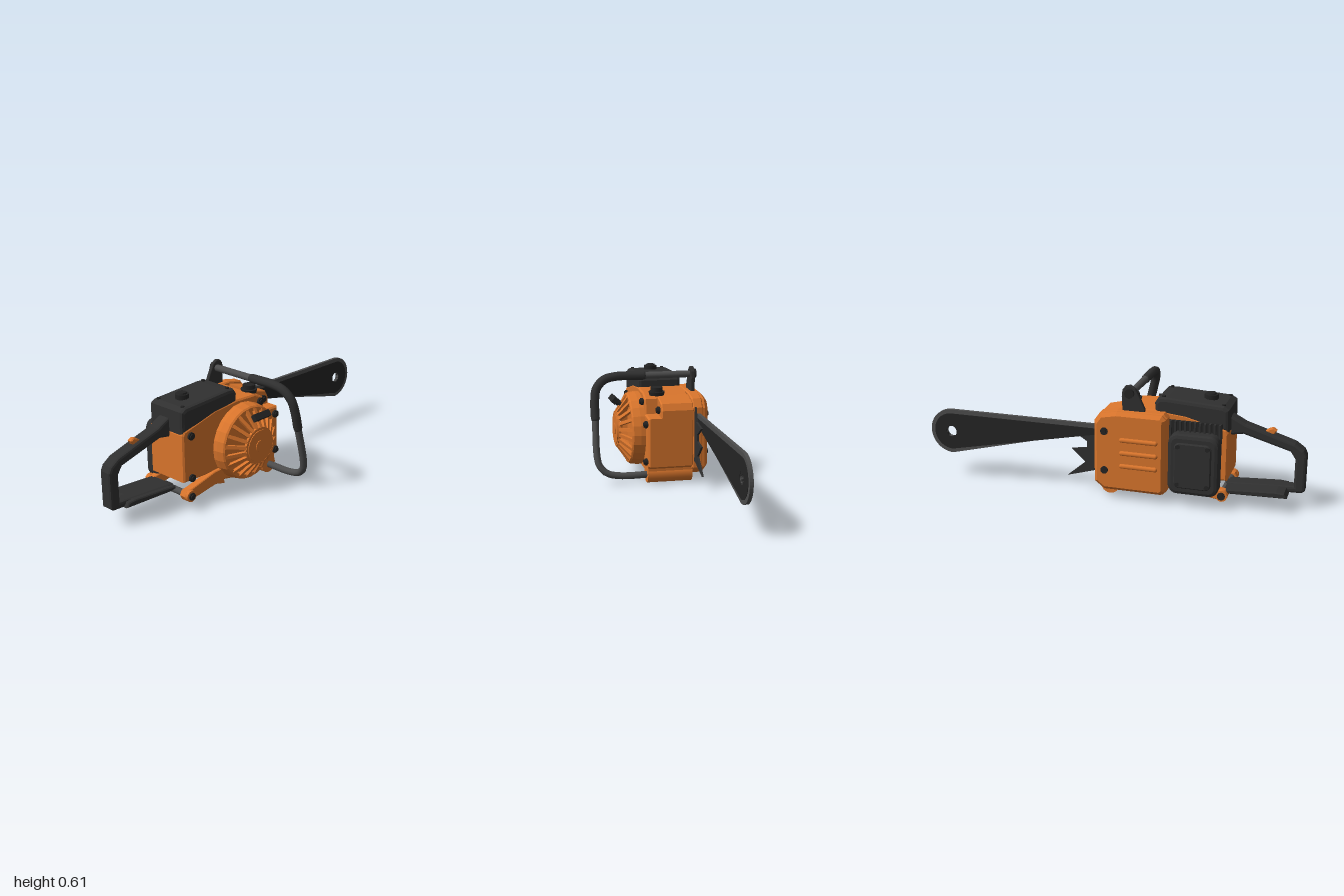
import * as THREE from 'three';

const mat = (name, color) => Object.assign(new THREE.MeshStandardMaterial({ color }), { name });

export function createModel() {
  const root = new THREE.Group();
  root.name = 'chainsaw';
  const orange = mat('orange housing', 0xd9752c);
  const dark = mat('dark plastic', 0x303030);
  const black = mat('black hardware', 0x242424);
  const grey = mat('grey steel', 0x4c4c4c);

  const add = (name, geo, m, x = 0, y = 0, z = 0, parent = root) => {
    const mesh = new THREE.Mesh(geo, m);
    mesh.name = name;
    mesh.position.set(x, y, z);
    parent.add(mesh);
    return mesh;
  };
  const poly = (pts) => new THREE.Shape(pts.map(([x, y]) => new THREE.Vector2(x, y)));
  // Extrude a side-view shape between two depths, with chamfers kept inside the outline
  const slab = (name, shape, z0, z1, m, bevel = 0, segs = 1) => {
    const geo = new THREE.ExtrudeGeometry(shape, {
      depth: z1 - z0 - 2 * bevel, bevelEnabled: bevel > 0, bevelSize: bevel, bevelThickness: bevel,
      bevelOffset: -bevel, bevelSegments: segs, curveSegments: 12,
    });
    return add(name, geo, m, 0, 0, z0 + bevel);
  };
  const box = (name, w, h, d, m, x, y, z) => add(name, new THREE.BoxGeometry(w, h, d), m, x, y, z);
  const cylZ = (name, r, len, m, x, y, z, n = 12) =>
    add(name, new THREE.CylinderGeometry(r, r, len, n).rotateX(Math.PI / 2), m, x, y, z);
  const cylY = (name, r0, r1, len, m, x, y, z, n = 12) =>
    add(name, new THREE.CylinderGeometry(r0, r1, len, n), m, x, y, z);
  const bolt = (x, y, z) => {
    cylZ('boltWasher', 0.02, 0.012, black, x, y, z, 12);
    cylZ('boltHead', 0.014, 0.026, black, x, y, z, 6);
  };
  const roundRect = (x0, y0, x1, y1, r) => {
    const s = new THREE.Shape();
    s.absarc(x1 - r, y1 - r, r, 0, Math.PI / 2);
    s.absarc(x0 + r, y1 - r, r, Math.PI / 2, Math.PI);
    s.absarc(x0 + r, y0 + r, r, Math.PI, Math.PI * 1.5);
    s.absarc(x1 - r, y0 + r, r, Math.PI * 1.5, Math.PI * 2);
    return s;
  };

  // Engine housing with a notched front corner
  slab('engineHousing', poly([[-0.62, 0.14], [-0.42, 0.135], [-0.38, 0.075], [-0.27, 0.055], [-0.04, 0.055],
    [0.04, 0.085], [0.065, 0.1], [0.065, 0.365], [-0.04, 0.37], [-0.05, 0.45], [-0.11, 0.475], [-0.25, 0.48],
    [-0.4, 0.465], [-0.61, 0.41], [-0.62, 0.39]]), -0.22, 0.025, orange, 0.008);
  slab('cornerBlock', poly([[-0.06, 0.35], [0.065, 0.35], [0.065, 0.405], [0.045, 0.44], [-0.06, 0.465]]),
    -0.22, -0.045, orange, 0.006);
  cylZ('frontFoot', 0.05, 0.245, orange, -0.005, 0.05, -0.0975, 16);
  box('footWeb', 0.07, 0.05, 0.24, orange, 0.005, 0.08, -0.0975);

  // Rear foot arms, bosses and cross rod
  const arm = () => poly([[-0.36, 0.15], [-0.36, 0.06], [-0.42, 0.075], [-0.59, 0.046], [-0.62, 0.05],
    [-0.634, 0.075], [-0.62, 0.1], [-0.59, 0.105], [-0.43, 0.145]]);
  slab('frontFootArm', arm(), 0.0, 0.045, orange, 0.004);
  slab('backFootArm', arm(), -0.25, -0.21, orange, 0.004);
  cylZ('footRod', 0.018, 0.28, grey, -0.603, 0.075, -0.1);
  for (const z of [0.048, -0.253]) {
    cylZ('footBoss', 0.03, 0.022, orange, -0.603, 0.075, z, 14);
    bolt(-0.603, 0.075, z + Math.sign(z) * 0.012);
  }

  // Starter cover: rim, spokes, centre disc and hub
  const starter = new THREE.Group();
  starter.name = 'starterCover';
  starter.position.set(-0.215, 0.257, 0);
  root.add(starter);
  const rim = [[0.203, 0.0], [0.203, 0.05], [0.197, 0.088], [0.19, 0.096], [0.172, 0.096], [0.168, 0.06], [0, 0.06]]
    .map(([r, h]) => new THREE.Vector2(r, h));
  const rimGeo = new THREE.LatheGeometry(rim, 24).rotateX(Math.PI / 2).toNonIndexed();
  rimGeo.computeVertexNormals();
  add('starterRim', rimGeo, orange, 0, 0, 0, starter);
  const SPOKES = 20;
  for (let i = 0; i < SPOKES; i++) {
    const pivot = new THREE.Group();
    pivot.name = 'starterSpoke';
    pivot.rotation.z = (i + 0.5) / SPOKES * Math.PI * 2;
    starter.add(pivot);
    add('spokeBar', new THREE.BoxGeometry(0.114, 0.018, 0.016), orange, 0.138, 0, 0.119, pivot)
      .rotation.y = Math.atan2(0.062, 0.09);
  }
  const disc = (name, r, z0, z1) => add(name,
    new THREE.CylinderGeometry(r, r, z1 - z0, 24).rotateX(Math.PI / 2), orange, 0, 0, (z0 + z1) / 2, starter);
  disc('starterDisc', 0.1, 0.144, 0.157);
  disc('starterRing', 0.085, 0.15, 0.161);
  disc('starterHub', 0.032, 0.15, 0.165);

  // Pull cord and grip
  cylY('pullCord', 0.01, 0.01, 0.09, dark, -0.215, 0.4, 0.135, 8).rotation.x = 0.87;
  cylY('pullGripNeck', 0.017, 0.017, 0.04, black, -0.215, 0.412, 0.152, 10).rotation.x = 0.87;
  box('pullGrip', 0.11, 0.026, 0.034, black, -0.215, 0.424, 0.168).rotation.x = 0.87;

  // Front bolts
  for (const [x, y, z] of [[-0.57, 0.38, 0.03], [-0.57, 0.155, 0.03], [0.035, 0.33, 0.035],
    [0.035, 0.125, 0.035], [0.018, 0.402, -0.036], [-0.08, 0.432, 0.035]]) bolt(x, y, z);

  // Fuel cap
  cylY('fuelCapBase', 0.045, 0.04, 0.02, black, -0.08, 0.475, -0.047, 14);
  cylY('fuelCap', 0.033, 0.033, 0.04, black, -0.08, 0.488, -0.047, 8);

  // Air filter cover and knob
  slab('airFilterCover', poly([[-0.62, 0.395], [-0.24, 0.465], [-0.238, 0.515], [-0.255, 0.542], [-0.3, 0.545],
    [-0.59, 0.527], [-0.618, 0.51]]), -0.217, 0.022, dark, 0.018, 2);
  cylY('filterKnob', 0.036, 0.036, 0.03, black, -0.505, 0.54, -0.1, 10);
  cylY('filterKnobTop', 0.024, 0.028, 0.014, black, -0.505, 0.556, -0.1, 10);
  for (const x of [-0.585, -0.28]) for (const z of [-0.185, -0.01])
    cylY('filterScrew', 0.01, 0.01, 0.012, black, x, x < -0.4 ? 0.526 : 0.545, z, 8);

  // Cooling fins beside the cylinder
  box('finBacking', 0.27, 0.1, 0.01, black, -0.455, 0.39, -0.222);
  for (let i = 0; i < 11; i++) box('coolingFin', 0.01, 0.1, 0.025, dark, -0.58 + i * 0.025, 0.39, -0.232);

  // Muffler
  slab('muffler', roundRect(-0.59, 0.07, -0.33, 0.39, 0.05), -0.3, -0.21, dark, 0.02, 2);
  slab('mufflerPlate', roundRect(-0.555, 0.11, -0.365, 0.35, 0.03), -0.31, -0.295, dark, 0.006);
  for (const x of [-0.535, -0.385]) for (const y of [0.13, 0.33]) cylZ('mufflerBolt', 0.012, 0.012, black, x, y, -0.309, 6);

  // Clutch cover with ribs and nuts
  const cover = (e) => poly([[-0.32 + e, 0.065 + e], [-0.3 + e, 0.046 + e], [0.01 - e, 0.046 + e], [0.062 - e, 0.085 + e],
    [0.062 - e, 0.415 - e], [0.03 - e, 0.46 - e], [-0.06, 0.477 - e], [-0.3 + e, 0.477 - e], [-0.32 + e, 0.455 - e]]);
  slab('clutchFlange', cover(0), -0.27, -0.215, orange, 0.006);
  slab('clutchCover', cover(0.004), -0.3, -0.23, orange, 0.018);
  for (const y of [0.19, 0.26, 0.33]) {
    const rib = new THREE.CapsuleGeometry(0.013, 0.175, 4, 8).rotateZ(Math.PI / 2);
    add('coverRib', rib, orange, -0.18, y, -0.299);
  }
  for (const y of [0.16, 0.37]) bolt(0.0, y, -0.3);

  // Guide bar with chain rim and tip hole
  const barShape = (x0, yMid, half) => {
    const s = new THREE.Shape();
    s.moveTo(x0, yMid - half);
    s.absarc(0.878, yMid, half, -Math.PI / 2, Math.PI / 2, false);
    s.lineTo(x0, yMid + half);
    const hole = new THREE.Path();
    hole.absarc(0.88, yMid, 0.03, 0, Math.PI * 2, true);
    s.holes.push(hole);
    return s;
  };
  slab('chainRim', barShape(-0.1, 0.262, 0.122), -0.255, -0.237, grey);
  slab('guideBar', barShape(-0.1, 0.262, 0.1), -0.257, -0.235, black);

  // Bumper spikes
  slab('bumperSpikes', poly([[0.02, 0.1], [0.07, 0.125], [0.225, 0.08], [0.125, 0.165], [0.2, 0.232], [0.115, 0.245],
    [0.115, 0.28], [0.195, 0.33], [0.09, 0.345], [0.06, 0.42], [0.02, 0.42]]), -0.235, -0.224, dark);

  // Wrap-around front handle, leaning forward toward its foot
  const pt = ([z, y]) => new THREE.Vector3(-0.125 * (y - 0.045) / 0.52, y, z);
  const tube = (name, pts, r, m) => {
    add(name, new THREE.TubeGeometry(new THREE.CatmullRomCurve3(pts.map(pt), false, 'centripetal'), 40, r, 10), m);
    for (const p of [pts[0], pts[pts.length - 1]]) {
      add(name + 'End', new THREE.SphereGeometry(r * 0.98, 10, 6), m, ...pt(p).toArray()).scale.setScalar(0.99);
    }
  };
  const upper = [[0.02, 0.566], [0.17, 0.566], [0.235, 0.55], [0.277, 0.505], [0.289, 0.44], [0.29, 0.35]];
  const lower = [[0.29, 0.15], [0.278, 0.1], [0.24, 0.062], [0.17, 0.046], [0.0, 0.046]];
  tube('frontHandle', [[-0.255, 0.566], ...upper, ...lower], 0.019, grey);
  tube('frontHandleGrip', upper, 0.024, dark);

  // Handle bracket
  slab('handleBracket', poly([[-0.2, 0.46], [-0.2, 0.49], [-0.172, 0.55], [-0.15, 0.593], [-0.125, 0.609], [-0.1, 0.605],
    [-0.084, 0.585], [-0.08, 0.55], [-0.085, 0.46]]), -0.26, -0.239, dark, 0.003);
  cylZ('bracketNut', 0.025, 0.02, black, -0.122, 0.568, -0.263, 12);

  // Rear handle loop
  const loop = poly([[-1, 0.1], [-0.985, 0.088], [-0.62, 0.078], [-0.6, 0.1], [-0.62, 0.105], [-0.945, 0.122], [-0.945, 0.265],
    [-0.92, 0.303], [-0.68, 0.372], [-0.61, 0.36], [-0.59, 0.44], [-0.62, 0.462], [-0.69, 0.425], [-0.94, 0.347],
    [-0.985, 0.315], [-1, 0.285]]);
  slab('rearHandle', loop, -0.147, -0.073, dark, 0.012, 2);
  slab('rearHandShield', poly([[-0.925, 0.088], [-0.64, 0.08], [-0.61, 0.085], [-0.61, 0.1], [-0.7, 0.106], [-0.87, 0.116],
    [-0.91, 0.112]]), -0.235, -0.05, dark, 0.005);

  // Throttle lock lever
  slab('throttleLock', poly([[-0.845, 0.4], [-0.825, 0.412], [-0.805, 0.405], [-0.775, 0.385], [-0.765, 0.37],
    [-0.82, 0.36]]), -0.125, -0.095, orange, 0.005);

  return root;
}
